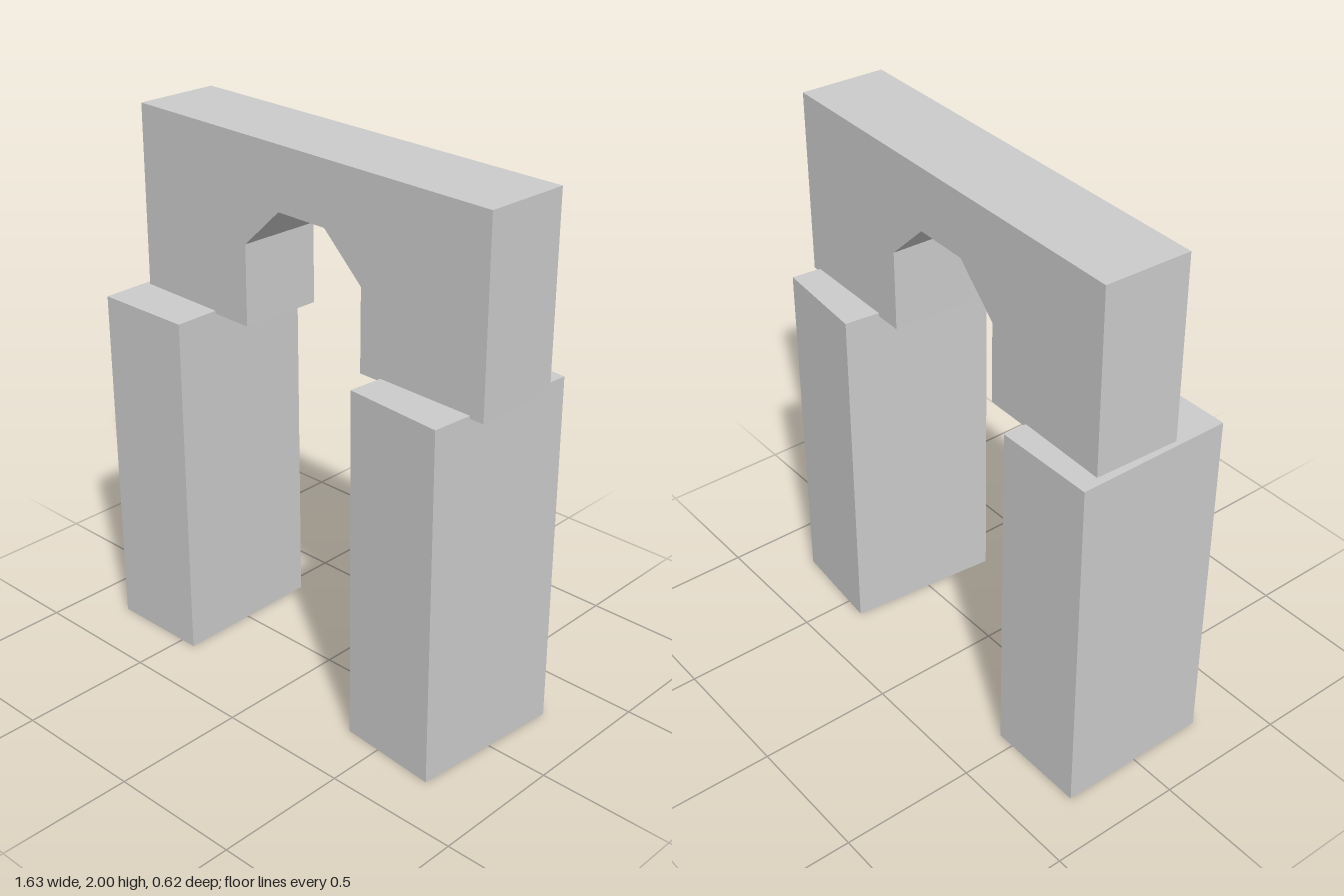
import * as THREE from 'three';

const material = new THREE.MeshStandardMaterial({ color: 0xcccccc, flatShading: true });

// Rectangular standing stone, leaning very slightly forward
function makePillar(name, x, turn) {
  const pillar = new THREE.Mesh(new THREE.BoxGeometry(0.382, 1.322, 0.583), material);
  pillar.name = name;
  pillar.position.set(x, 0.664, 0);
  pillar.rotation.set(0.005, turn, 0);
  return pillar;
}

// Lintel block with a faceted arch cut from its underside
function makeLintel() {
  const half = 0.802, bottom = 1.314, top = 2, depth = 0.321;
  const arch = [[-0.274, bottom], [-0.274, 1.615], [-0.107, 1.77]];
  const mirrored = arch.map(([x, y]) => [-x, y]).reverse();
  const outline = [
    [-half, bottom], ...arch, ...mirrored, [half, bottom], [half, top], [-half, top],
  ].map(([x, y]) => new THREE.Vector2(x, y));
  const geometry = new THREE.ExtrudeGeometry(new THREE.Shape(outline), { depth, bevelEnabled: false });
  geometry.translate(0, 0, -depth / 2);
  const lintel = new THREE.Mesh(geometry, material);
  lintel.name = 'archedLintel';
  lintel.position.set(0.008, 0, -0.024);
  lintel.rotation.y = -0.033;
  return lintel;
}

export function createModel() {
  const model = new THREE.Group();
  model.name = 'archway';
  model.add(
    makePillar('rightPillar', -0.628, 0),
    makePillar('leftPillar', 0.572, -0.088),
    makeLintel(),
  );
  return model;
}
